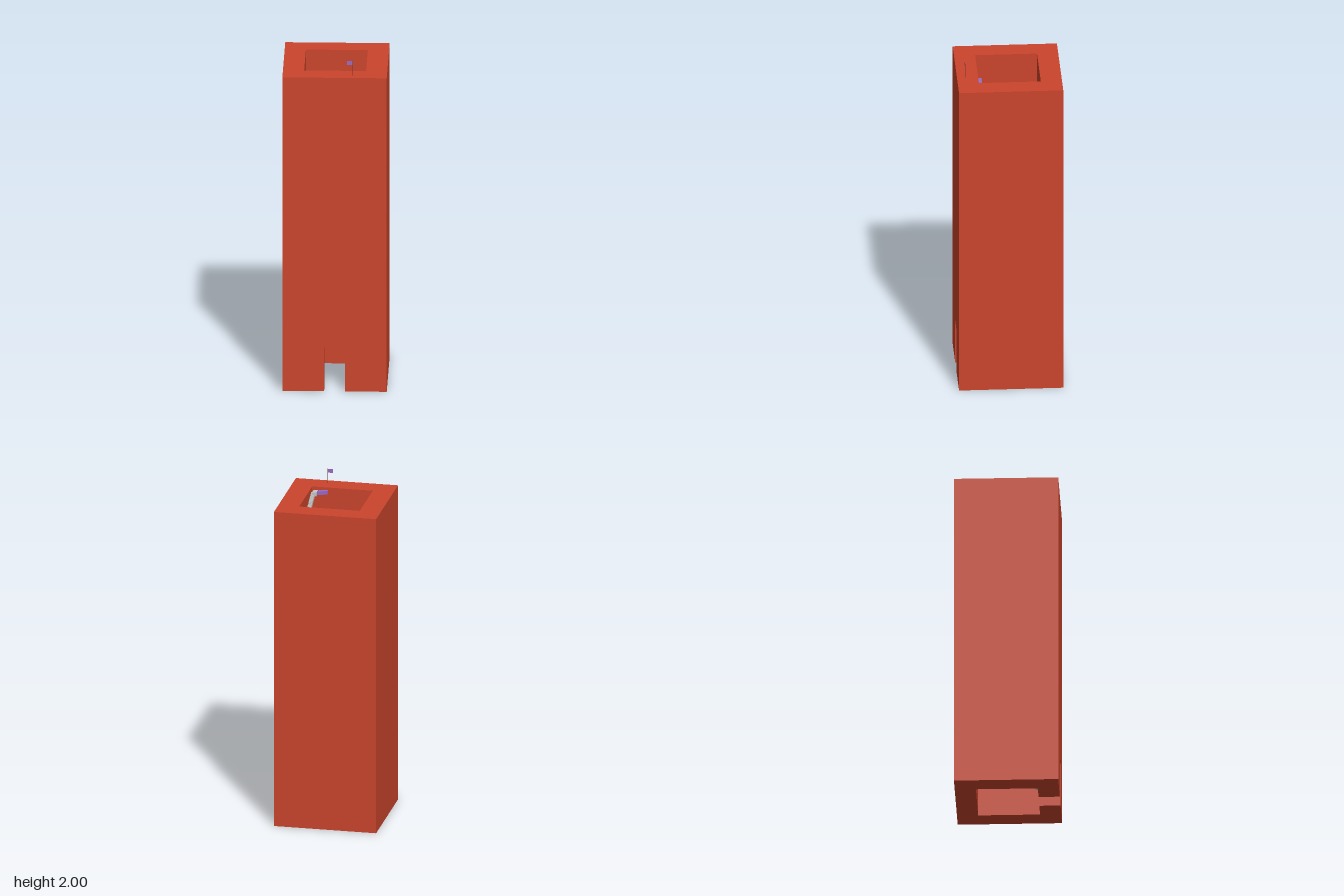
import * as THREE from 'three';
import { mergeGeometries } from 'three/addons/utils/BufferGeometryUtils.js';

const OUT = 0.3, IN = 0.178, TOP = 1.913, DOOR = 0.06, DOOR_TOP = 0.267;

const material = (name, color) => {
  const m = new THREE.MeshStandardMaterial({ color });
  m.name = name;
  return m;
};

// Box given by its two opposite corners
const boxBetween = (x0, x1, y0, y1, z0, z1) =>
  new THREE.BoxGeometry(x1 - x0, y1 - y0, z1 - z0)
    .translate((x0 + x1) / 2, (y0 + y1) / 2, (z0 + z1) / 2);

export function createModel() {
  const brick = material('brick red', 0xcb452c);
  const stone = material('stone grey', 0xc8c8c8);
  const purple = material('purple', 0x9b6cc8);
  const wood = material('pole brown', 0x7a3428);

  const model = new THREE.Group();
  const add = (name, geometry, mat) => {
    const mesh = new THREE.Mesh(geometry, mat);
    mesh.name = name;
    model.add(mesh);
  };

  // Hollow square tower: a plan open at the doorway, raised to full height
  const plan = new THREE.Shape([
    [-DOOR, -OUT], [-DOOR, -IN], [-IN, -IN], [-IN, IN], [IN, IN], [IN, -IN],
    [DOOR, -IN], [DOOR, -OUT], [OUT, -OUT], [OUT, OUT], [-OUT, OUT], [-OUT, -OUT],
  ].map(([x, y]) => new THREE.Vector2(x, y)));
  const walls = new THREE.ExtrudeGeometry(plan, { depth: TOP, bevelEnabled: false });
  walls.rotateX(-Math.PI / 2);
  add('towerWalls', walls, brick);

  // Wall above the doorway
  add('doorLintel', boxBetween(-DOOR, DOOR, DOOR_TOP, TOP, IN, OUT), brick);

  // Stair climbing round the inner walls, eleven flights of small steps
  const W = 0.022, THICK = 0.022, STEPS = 43, FLIGHTS = 11;
  const RISE = 1.87 / (STEPS * FLIGHTS);
  const E = IN - W;
  const sides = [
    { axis: 'z', wall: -1, from: IN, to: -E },
    { axis: 'x', wall: -1, from: -E, to: IN },
    { axis: 'z', wall: 1, from: -IN, to: E },
    { axis: 'x', wall: 1, from: E, to: -IN },
  ];
  const step = (side, i, y) => {
    const run = (side.to - side.from) / STEPS;
    const a = side.from + i * run;
    const [lo, hi] = [Math.min(a, a + run), Math.max(a, a + run)];
    const [w0, w1] = side.wall < 0 ? [-IN, -E] : [E, IN];
    return side.axis === 'x'
      ? boxBetween(lo, hi, y, y + THICK, w0, w1)
      : boxBetween(w0, w1, y, y + THICK, lo, hi);
  };
  for (let f = 0; f < FLIGHTS; f++) {
    const steps = [];
    for (let i = 0; i < STEPS; i++) steps.push(step(sides[f % 4], i, (f * STEPS + i) * RISE));
    add('stairFlight' + (f + 1), mergeGeometries(steps), stone);
  }

  // Corner landing and the coloured last steps
  const endY = FLIGHTS * STEPS * RISE;
  add('cornerLanding', boxBetween(0.145, 0.17, endY, endY + THICK, 0.135, IN), stone);
  const last = [];
  for (let i = 0; i < 8; i++) {
    const x = 0.145 - i * 0.0075;
    last.push(boxBetween(x - 0.0075, x, endY + i * 0.001, endY + THICK + i * 0.001, 0.157, IN));
  }
  add('topSteps', mergeGeometries(last), purple);

  // Flag on the front parapet
  add('flagPole', boxBetween(0.102, 0.104, TOP, 2, 0.252, 0.254), wood);
  add('flag', boxBetween(0.071, 0.102, 1.977, 2, 0.2525, 0.2535), purple);

  return model;
}
